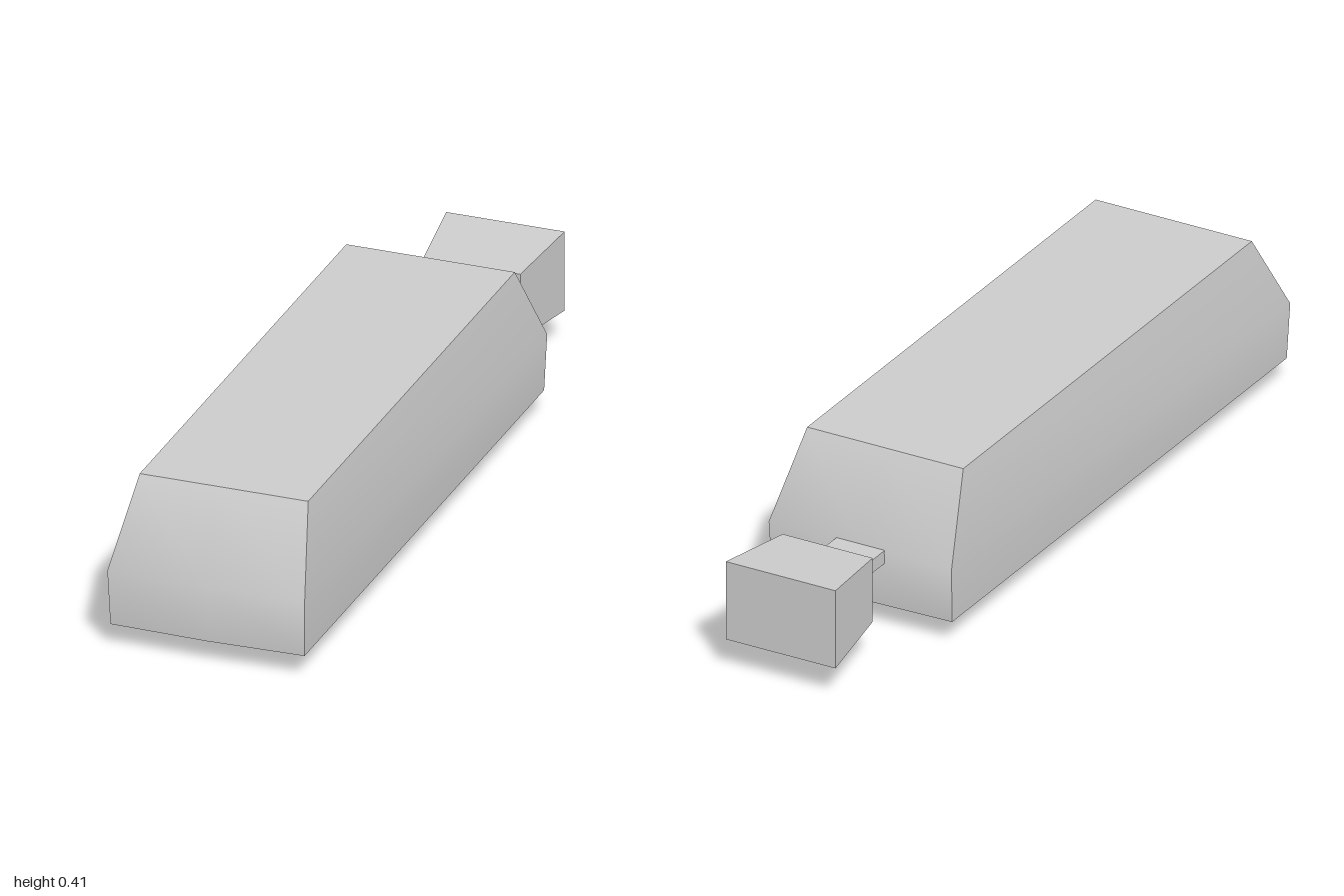
import * as THREE from 'three';
import { toCreasedNormals } from 'three/addons/utils/BufferGeometryUtils.js';

const grey = new THREE.MeshStandardMaterial({ color: 0xcccccc });
const greyDouble = new THREE.MeshStandardMaterial({ color: 0xcccccc, side: THREE.DoubleSide });

function addMesh(group, name, geometry, material = grey) {
  const mesh = new THREE.Mesh(geometry, material);
  mesh.name = name;
  group.add(mesh);
  return mesh;
}

// Rectangular ring, anticlockwise from above; bow pushes the end middles outward.
function ring(y, halfWidth, back, front, bow = 0) {
  return [
    [halfWidth, y, front], [halfWidth, y, back], [0, y, back - bow],
    [-halfWidth, y, back], [-halfWidth, y, front], [0, y, front + bow],
  ];
}

// Skin through rings from the top down, closed by a flat cap on the first ring.
function loft(rings) {
  const n = rings[0].length;
  const index = [];
  for (let i = 1; i < n - 1; i++) index.push(0, i, i + 1);
  for (let r = 0; r < rings.length - 1; r++) {
    for (let i = 0; i < n; i++) {
      const a = r * n + i, b = r * n + (i + 1) % n;
      index.push(a, a + n, b + n, a, b + n, b);
    }
  }
  const geometry = new THREE.BufferGeometry();
  geometry.setAttribute('position', new THREE.Float32BufferAttribute(rings.flat(2), 3));
  geometry.setIndex(index);
  return toCreasedNormals(geometry, THREE.MathUtils.degToRad(40));
}

// Shallow pillow bulging downward, flat along its rim.
function pillow(width, length, depth) {
  const geometry = new THREE.PlaneGeometry(width, length, 10, 12).rotateX(Math.PI / 2);
  const p = geometry.attributes.position;
  for (let i = 0; i < p.count; i++) {
    const u = Math.min(1, Math.abs(p.getX(i)) * 2 / width);
    const v = Math.min(1, Math.abs(p.getZ(i)) * 2 / length);
    p.setY(i, -depth * (1 - u ** 2.3) * (1 - v ** 3));
  }
  geometry.computeVertexNormals();
  return geometry;
}

export function createModel() {
  const group = new THREE.Group();
  group.name = 'lampHead';

  // Housing: sloped top, upright skirt, bottom rim and the wall of the lens opening
  addMesh(group, 'housing', loft([
    ring(0.417, 0.217, -0.50, 0.88),
    ring(0.205, 0.254, -0.62, 1.0),
    ring(0.06, 0.25, -0.61, 0.99, 0.007),
    ring(0.06, 0.222, -0.45, 0.9),
    ring(0.085, 0.222, -0.45, 0.9),
  ]), greyDouble);

  // Bulging lens set in the opening
  addMesh(group, 'lens', pillow(0.444, 1.35, 0.083), greyDouble).position.set(0, 0.085, 0.225);

  // Flat neck between housing and mount
  addMesh(group, 'neck', new THREE.BoxGeometry(0.134, 0.035, 0.2)).position.set(0, 0.192, -0.69);

  // Mounting block, tapering toward the neck
  const block = new THREE.BoxGeometry(0.305, 0.21, 0.225);
  const p = block.attributes.position;
  for (let i = 0; i < p.count; i++) {
    if (p.getZ(i) > 0) p.setXYZ(i, p.getX(i) * 0.82, p.getY(i) * 0.82, p.getZ(i));
  }
  block.computeVertexNormals();
  addMesh(group, 'mountingBlock', block).position.set(0, 0.188, -0.8875);

  return group;
}
